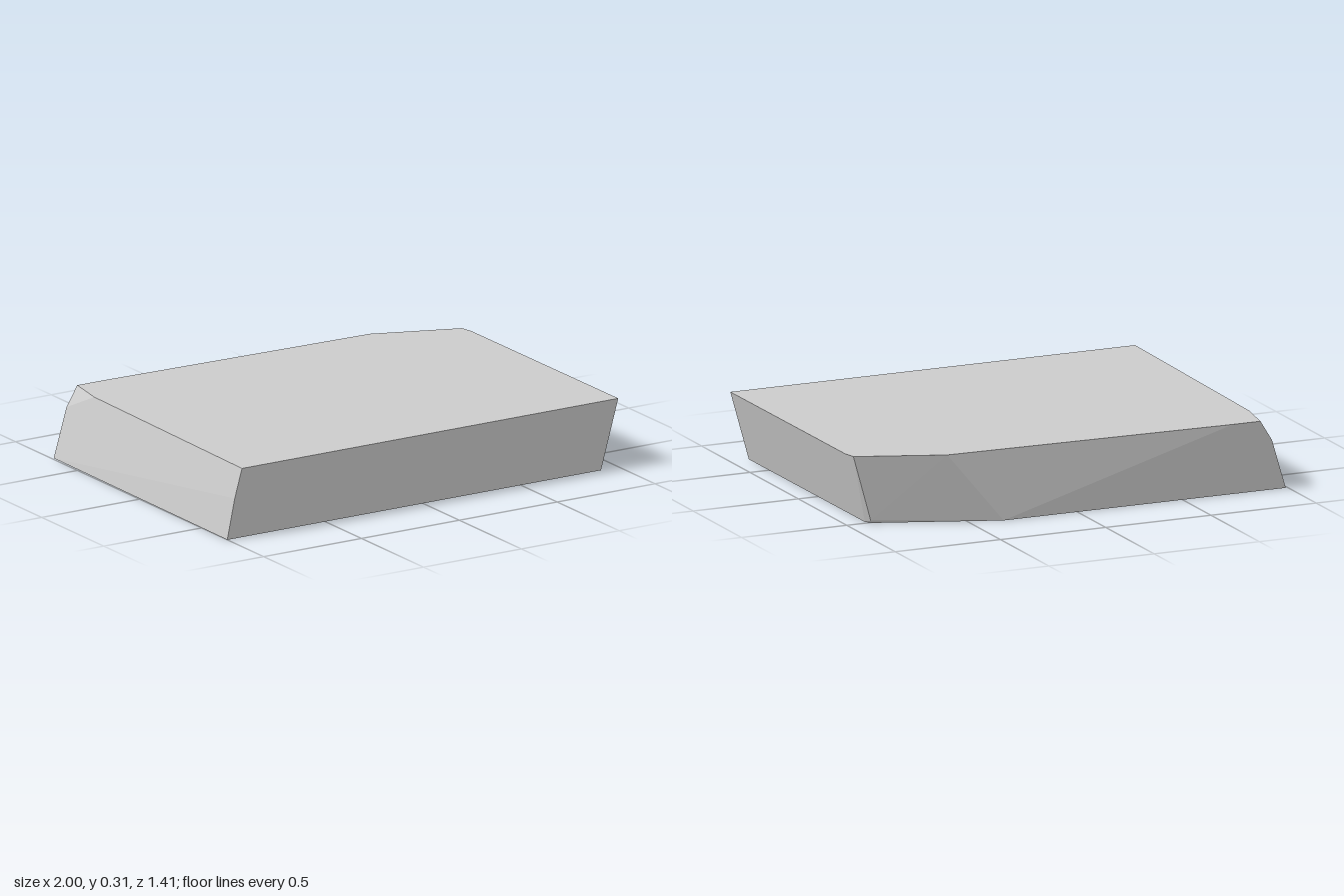
import * as THREE from 'three';
import { ConvexGeometry } from 'three/addons/geometries/ConvexGeometry.js';

const HEIGHT = 0.31;

// Outlines as [x, z], running from the front left round the right and back
const topOutline = [
  [-0.925, 0.707], [0.998, 0.707], [0.992, -0.47], [0.98, -0.525],
  [0.6, -0.668], [-0.74, -0.707], [-0.87, -0.707], [-0.902, -0.52],
];
const bottomOutline = [
  [-1, 0.707], [0.91, 0.707], [0.905, -0.48], [0.88, -0.51],
  [0.35, -0.707], [-0.99, -0.707],
];

// Points between the outlines: bowed left face and small chipped corners
const sidePoints = [
  [-0.962, 0.18, 0.707],
  [-0.925, 0.22, -0.707],
  [0.892, 0.012, -0.513],
];

export function createModel() {
  const group = new THREE.Group();
  group.name = 'stoneSlab';

  const at = (y) => ([x, z]) => new THREE.Vector3(x, y, z);
  const points = [
    ...topOutline.map(at(HEIGHT)),
    ...bottomOutline.map(at(0)),
    ...sidePoints.map((p) => new THREE.Vector3(...p)),
  ];

  // Slanted slab with chipped back corners
  const slab = new THREE.Mesh(
    new ConvexGeometry(points),
    new THREE.MeshStandardMaterial({ color: 0xcccccc, flatShading: true }),
  );
  slab.name = 'slab';
  group.add(slab);
  return group;
}
